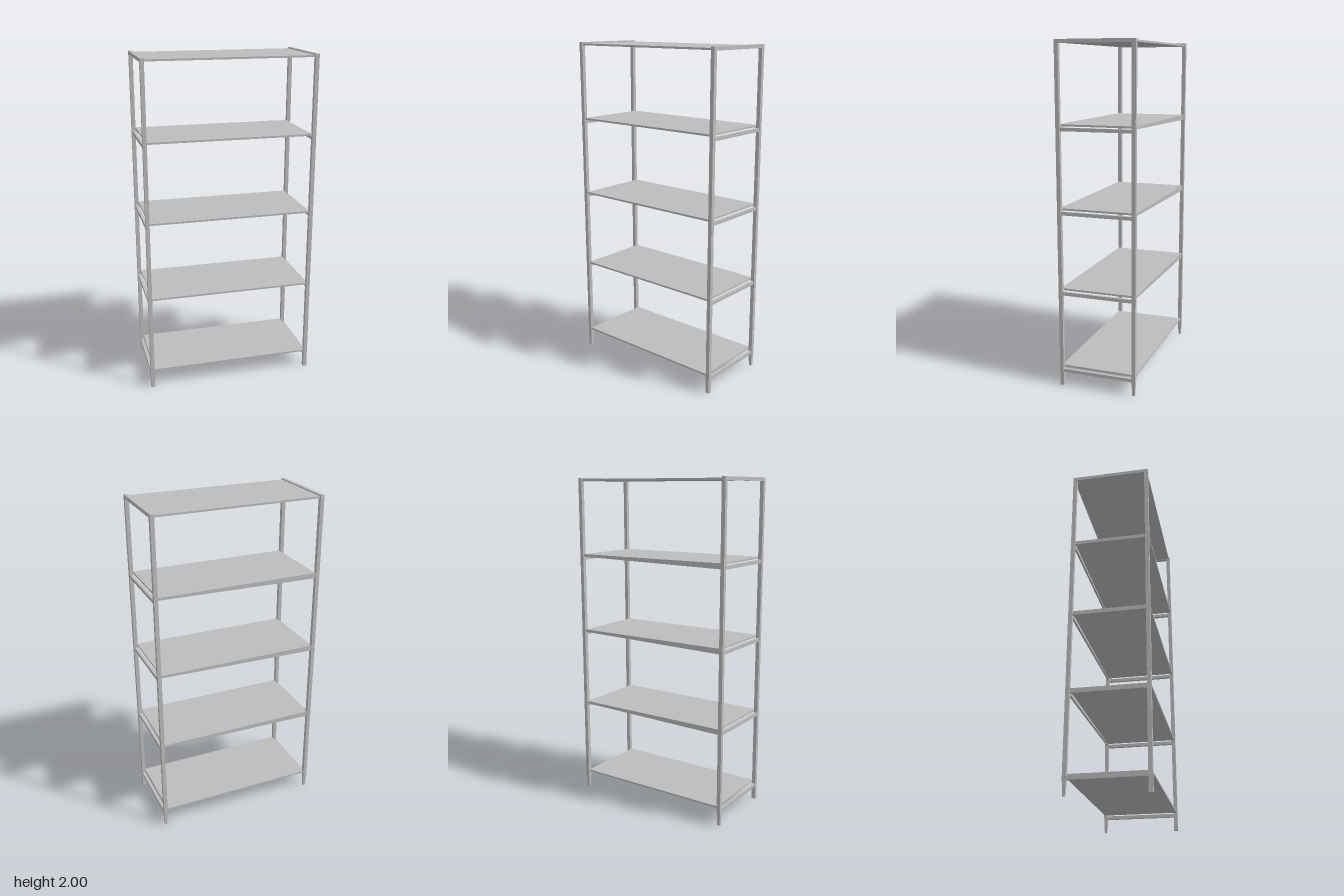
import * as THREE from 'three';

export function createModel() {
  const group = new THREE.Group();
  group.name = 'shelvingUnit';
  const metal = new THREE.MeshStandardMaterial({ color: 0xbcbcbc });
  metal.name = 'light grey metal';

  function box(name, w, h, d, x, y, z) {
    const mesh = new THREE.Mesh(new THREE.BoxGeometry(w, h, d), metal);
    mesh.name = name;
    mesh.position.set(x, y, z);
    group.add(mesh);
    return mesh;
  }

  const bar = 0.023; // side of the square tubing
  const postX = 0.5, postZ = 0.223;
  const shelfTops = [0.118, 0.592, 1.066, 1.541, 1.993];

  // Two end frames: posts with a flush top bar
  for (const side of [-1, 1]) {
    for (const end of [-1, 1]) {
      const foot = end < 0 ? 0.1 : 0;
      box(end < 0 ? 'backPost' : 'frontPost', bar, 2 - foot, bar, side * postX, 1 + foot / 2, end * postZ);
      if (foot) {
        // Slightly tapered rear foot
        const mesh = box('backFoot', bar, foot, bar, side * postX, foot / 2, -postZ);
        const p = mesh.geometry.attributes.position;
        for (let i = 0; i < p.count; i++) {
          if (p.getY(i) < 0) p.setXYZ(i, p.getX(i) * 0.7, p.getY(i), p.getZ(i) * 0.6);
        }
        mesh.geometry.computeVertexNormals();
      }
    }
    box('topBar', bar, 0.021, 2 * postZ - bar, side * postX, 1.9895, 0);
  }

  shelfTops.forEach((top, i) => {
    // Thin sheet shelf
    box('shelf', 0.974, 0.011, 0.458, 0, top - 0.0055, 0);

    // Cross rails just below the four lower shelves
    if (i < 4) {
      for (const side of [-1, 1]) {
        box('sideRail', 0.018, 0.02, 2 * postZ - bar, side * postX, top - 0.026, 0);
      }
    }

    // Rear rail of the middle shelves, narrowing towards +x
    if (i > 0 && i < 4) {
      const rail = box('backRail', 0.978, 0.022, 0.012, 0, top - 0.022, -0.222);
      const p = rail.geometry.attributes.position;
      for (let k = 0; k < p.count; k++) {
        if (p.getX(k) > 0 && p.getY(k) < 0) p.setY(k, 0.006);
      }
      rail.geometry.computeVertexNormals();
    }
  });

  return group;
}
